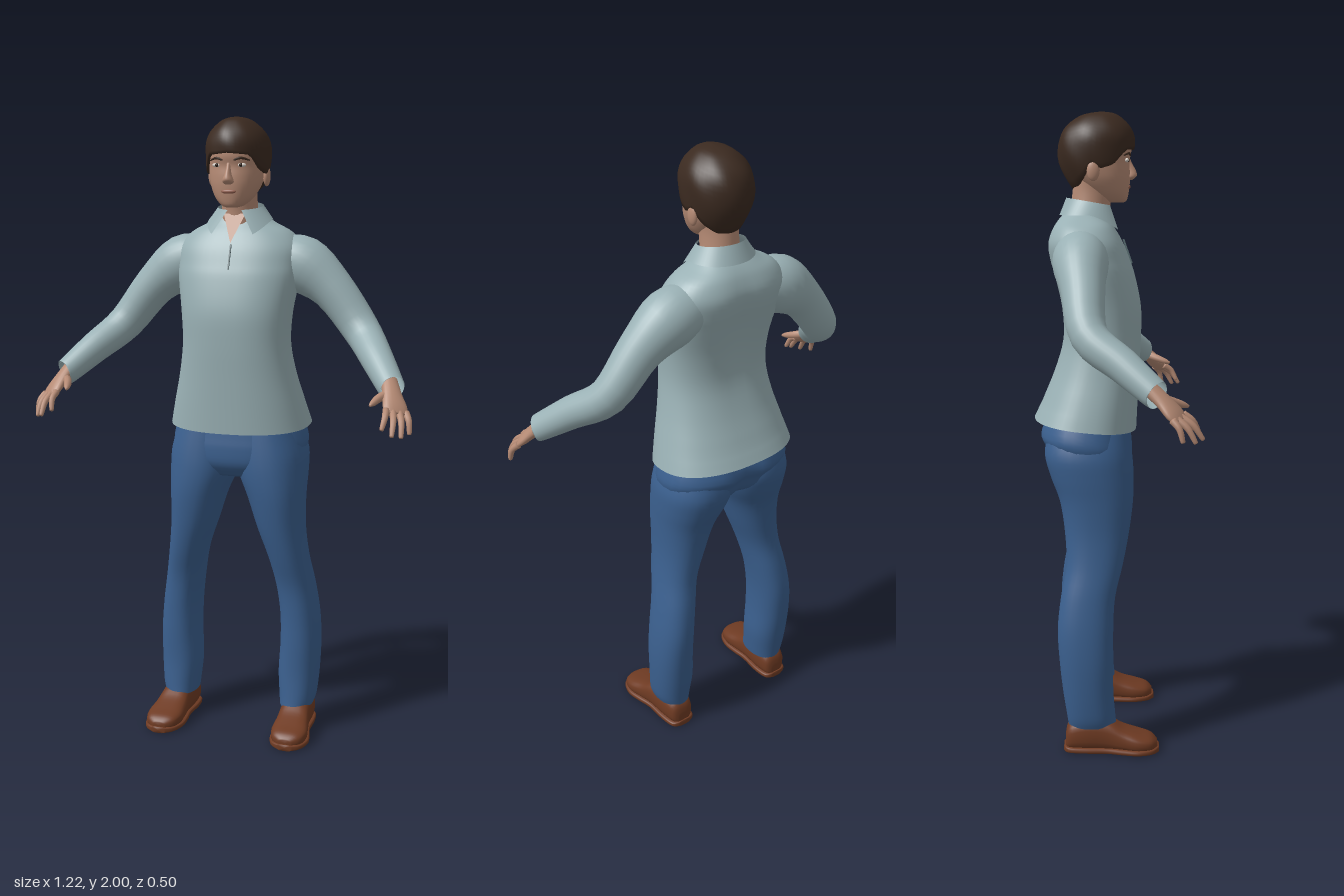
import * as THREE from 'three';

const V = (x, y, z) => new THREE.Vector3(x, y, z);
const mat = (name, color, side = THREE.FrontSide) => {
  const m = new THREE.MeshStandardMaterial({ color, side });
  m.name = name;
  return m;
};
const DS = THREE.DoubleSide;

// Catmull-Rom subdivision of rows of numbers
function smooth(rows, k = 4) {
  const out = [], at = i => rows[Math.min(Math.max(i, 0), rows.length - 1)];
  for (let i = 0; i < rows.length - 1; i++)
    for (let s = 0; s < k; s++) {
      const t = s / k, a = at(i - 1), b = at(i), c = at(i + 1), d = at(i + 2);
      out.push(b.map((_, j) => b[j] + 0.5 * t * (c[j] - a[j] + t * (2 * a[j] - 5 * b[j] + 4 * c[j] - d[j]
        + t * (3 * (b[j] - c[j]) + d[j] - a[j])))));
    }
  out.push(rows[rows.length - 1]);
  return out;
}

// Linear lookup in a table sorted by its first column
function lookup(rows, x) {
  let i = 0;
  while (i < rows.length - 2 && rows[i + 1][0] < x) i++;
  const a = rows[i], b = rows[i + 1], t = THREE.MathUtils.clamp((x - a[0]) / (b[0] - a[0]), 0, 1);
  return a.map((v, j) => v + (b[j] - v) * t);
}

const pow = (v, p) => Math.sign(v) * Math.abs(v) ** p;

// Superellipse ring around c with half axes u and v
function ring(c, u, v, n, p = 1) {
  return Array.from({ length: n }, (_, i) => {
    const a = i / n * Math.PI * 2;
    return c.clone().addScaledVector(u, pow(Math.cos(a), p)).addScaledVector(v, pow(Math.sin(a), p));
  });
}

// Skin over rings, with optional end caps
function loft(rings, capA = true, capB = true) {
  const n = rings[0].length, pts = rings.flat(), idx = [];
  for (let r = 0; r < rings.length - 1; r++)
    for (let j = 0; j < n; j++) {
      const a = r * n + j, b = r * n + (j + 1) % n;
      idx.push(a, b, a + n, b, b + n, a + n);
    }
  const cap = (r, flip) => {
    const c = V(0, 0, 0);
    rings[r].forEach(q => c.addScaledVector(q, 1 / n));
    const k = pts.push(c) - 1;
    for (let j = 0; j < n; j++) {
      const a = r * n + j, b = r * n + (j + 1) % n;
      idx.push(k, flip ? b : a, flip ? a : b);
    }
  };
  if (capA) cap(0, true);
  if (capB) cap(rings.length - 1, false);
  const g = new THREE.BufferGeometry().setFromPoints(pts);
  g.setIndex(idx);
  g.computeVertexNormals();
  return g;
}

// Upright form, rows: [y, xMin, xMax, zFront, zBack]
function stack(rows, { n = 32, p = 1, capA = true, capB = true, warp } = {}) {
  const rings = smooth(rows).map(([y, x0, x1, zf, zb]) =>
    ring(V((x0 + x1) / 2, y, (zf + zb) / 2), V(0, 0, (zf - zb) / 2), V((x1 - x0) / 2, 0, 0), n, p));
  if (warp) rings.flat().forEach(warp);
  return loft(rings, capA, capB);
}
const sym = rows => rows.map(([y, w, zf, zb]) => [y, -w, w, zf, zb]);

// Tube along a path, rows: [x, y, z, radius along ref, radius across]
function limb(rows, ref, n = 20, open = false) {
  const s = smooth(rows), P = s.map(r => V(r[0], r[1], r[2]));
  return loft(s.map((r, i) => {
    const t = P[Math.min(i + 1, P.length - 1)].clone().sub(P[Math.max(i - 1, 0)]).normalize();
    const u = ref.clone().addScaledVector(t, -ref.dot(t)).normalize(), v = t.clone().cross(u);
    return ring(P[i], u.multiplyScalar(r[3]), v.multiplyScalar(r[4]), n);
  }), true, !open);
}

// Lying form along z, rows: [z, centre x, half width, bottom, top]
const along = (rows, p) => loft(smooth(rows).map(([z, x, w, b, t]) =>
  ring(V(x, (b + t) / 2, z), V(w, 0, 0), V(0, (t - b) / 2, 0), 28, p)));

function mirrored(geo) {
  const g = geo.clone().scale(-1, 1, 1), ix = g.index.array;
  for (let i = 0; i < ix.length; i += 3) [ix[i], ix[i + 1]] = [ix[i + 1], ix[i]];
  g.computeVertexNormals();
  return g;
}

const ball = (x, y, z, a, b, c) => new THREE.SphereGeometry(1, 20, 14).scale(a, b, c).translate(x, y, z);

export function createModel() {
  const root = new THREE.Group();
  root.name = 'standingPerson';
  const skin = mat('skin', 0xb58a74), shirt = mat('shirt cloth', 0x9ab1b5, DS), denim = mat('denim', 0x3b608f, DS),
    leather = mat('shoe leather', 0x6f3b23), hairM = mat('hair', 0x3b2a20, DS), lip = mat('lips', 0x95604f),
    white = mat('eye white', 0xd5cec6), dark = mat('iris', 0x2b1d15), seam = mat('seam', 0x5d7276);
  const add = (name, geo, m) => {
    const mesh = new THREE.Mesh(geo, m);
    mesh.name = name;
    root.add(mesh);
  };
  const pair = (name, geo, m) => {
    add(name + 'Left', geo, m);
    add(name + 'Right', mirrored(geo), m);
  };

  // Shirt body, with a slanted hem and a groove down the spine
  add('shirtBody', stack(sym([
    [1.02, .232, .076, -.25], [1.1, .215, .08, -.225], [1.2, .19, .085, -.185], [1.3, .175, .09, -.16],
    [1.4, .18, .09, -.165], [1.5, .196, .07, -.187], [1.55, .2, .053, -.2], [1.6, .198, .033, -.205],
    [1.645, .165, .007, -.19], [1.675, .11, -.015, -.17], [1.7, .075, -.03, -.145]]), {
    n: 48, p: .85, capA: false, warp: q => {
      if (q.y < 1.1) q.y += (1.1 - q.y) * (.03 - q.z) * 1.3;
      else if (q.z < -.08) q.z += .014 * Math.exp(-((q.x / .05) ** 2)) * Math.exp(-(((q.y - 1.48) / .17) ** 2));
    } }), shirt);
  pair('sleeve', limb([
    [.11, 1.57, -.1, .07, .066], [.2, 1.545, -.098, .085, .09], [.3, 1.47, -.09, .066, .068],
    [.40, 1.345, -.07, .056, .058], [.47, 1.27, .025, .05, .05], [.527, 1.205, .105, .043, .042],
    [.537, 1.196, .118, .041, .04]], V(0, 0, 1), 28, true), shirt);

  // Collar with two front points
  const cp = [], ci = [], N = 40;
  for (let i = 0; i <= N; i++) {
    const a = THREE.MathUtils.degToRad(18 + 324 * i / N), b = THREE.MathUtils.degToRad(40 + 280 * i / N);
    const f = Math.max(0, Math.cos(b)) ** 1.5;
    cp.push(V(.073 * Math.sin(a), 1.727 - .012 * Math.cos(a), -.075 + .07 * Math.cos(a)),
      V(.105 * Math.sin(b), 1.685 - .065 * f, -.077 + (f > 0 ? .122 : .09) * Math.cos(b)));
    if (i < N) ci.push(2 * i, 2 * i + 1, 2 * i + 2, 2 * i + 1, 2 * i + 3, 2 * i + 2);
  }
  const collar = new THREE.BufferGeometry().setFromPoints(cp);
  collar.setIndex(ci);
  collar.computeVertexNormals();
  add('collar', collar, shirt);

  // Open neckline and front seam
  const vee = new THREE.BufferGeometry().setFromPoints([V(0, 1.615, .034), V(.036, 1.705, -.012), V(-.036, 1.705, -.012)]);
  vee.setIndex([0, 1, 2]);
  vee.computeVertexNormals();
  add('neckOpening', vee, skin);
  add('frontSeam', new THREE.BoxGeometry(.004, .08, .006).rotateX(-.34).translate(.002, 1.573, .047), seam);

  // Jeans
  add('jeansSeat', stack(sym([[.87, .12, .03, -.13], [.91, .2, .058, -.19], [.96, .222, .062, -.215],
    [1.0, .222, .058, -.232], [1.07, .2, .05, -.21]]), {
    p: .85, warp: q => { if (q.z < -.08) q.z += .02 * Math.exp(-((q.x / .035) ** 2)); } }), denim);
  pair('jeansLeg', stack([
    [.085, .15, .258, .01, -.143], [.12, .146, .268, .006, -.148], [.2, .14, .275, 0, -.16], [.3, .145, .277, 0, -.17],
    [.4, .143, .27, 0, -.175], [.5, .13, .255, .006, -.165], [.6, .108, .237, .03, -.148], [.7, .073, .226, .05, -.152],
    [.8, .04, .226, .063, -.168], [.88, .005, .229, .065, -.198], [.95, -.01, .226, .06, -.215], [1.03, 0, .2, .05, -.2]],
  { p: .9, capA: false }), denim);

  // Shoes
  pair('shoeUpper', along([[-.152, .207, .018, .012, .05], [-.14, .207, .04, .006, .09], [-.09, .208, .05, .004, .115],
    [-.02, .211, .05, .004, .108], [.03, .214, .055, .004, .08], [.08, .217, .06, .004, .062],
    [.12, .218, .048, .006, .05], [.14, .218, .02, .012, .034]], .75), leather);
  pair('shoeSole', along([[-.157, .207, .02, 0, .02], [-.143, .207, .044, 0, .02], [-.09, .208, .052, 0, .02],
    [-.02, .211, .051, 0, .02], [.03, .214, .06, 0, .02], [.08, .217, .065, 0, .02],
    [.125, .218, .05, 0, .02], [.146, .218, .022, 0, .02]], .5), leather);

  // Hands: palm, four fingers and thumb
  const across = V(.84, -.17, -.51);
  pair('palm', limb([[.522, 1.215, .095, .026, .022], [.54, 1.18, .135, .031, .019],
    [.555, 1.148, .165, .039, .016], [.563, 1.128, .183, .034, .01]], across), skin);
  [[.53, 1.09, .237], [.562, 1.074, .247], [.586, 1.068, .225], [.604, 1.073, .188]].forEach((t, i) => {
    const k = (i - 1.5) * .021, b = [.56 + .84 * k, 1.138 - .17 * k, .175 - .51 * k];
    const mid = b.map((v, j) => (v + t[j]) / 2 + [.004, .008, .004][j]);
    pair('finger' + (i + 1), limb([[...b, .011, .011], [...mid, .0095, .0095],
      [...t.map((v, j) => v * .9 + mid[j] * .1), .007, .007], [...t, .003, .003]], across, 10), skin);
  });
  pair('thumb', limb([[.532, 1.185, .128, .015, .015], [.508, 1.174, .16, .013, .013],
    [.495, 1.163, .192, .01, .01], [.489, 1.157, .21, .004, .004]], V(0, 1, 0), 10), skin);

  // Neck and head
  add('neck', stack(sym([[1.66, .065, -.01, -.135], [1.71, .058, -.008, -.13], [1.76, .056, .0, -.125],
    [1.8, .06, 0, -.12]])), skin);
  add('head', stack(sym([[1.724, .018, .034, -.005], [1.731, .036, .044, -.035], [1.755, .06, .05, -.075],
    [1.79, .077, .054, -.11], [1.82, .084, .054, -.13], [1.85, .087, .052, -.14], [1.88, .088, .058, -.148],
    [1.92, .082, .052, -.145], [1.96, .055, .02, -.11]]), { p: .92, n: 40 }), skin);
  add('nose', stack(sym([[1.793, .01, .06, .03], [1.799, .018, .069, .03], [1.808, .017, .076, .03],
    [1.825, .011, .071, .03], [1.845, .008, .06, .03], [1.868, .008, .05, .03]]), { n: 16 }), skin);
  pair('ear', ball(.09, 1.82, -.06, .011, .032, .02), skin);
  pair('eyeWhite', ball(.04, 1.852, .043, .015, .0065, .007), white);
  pair('iris', ball(.039, 1.852, .047, .0058, .0058, .005), dark);
  pair('eyebrow', limb([[.018, 1.867, .053, .003, .003], [.04, 1.873, .05, .004, .004],
    [.064, 1.866, .034, .002, .002]], V(0, 1, 0), 8), hairM);
  add('mouth', ball(0, 1.772, .049, .024, .007, .007), lip);

  // Short hair: a cap whose lower edge follows the hairline
  const form = smooth([[1.765, .068, .02, -.125], [1.8, .088, .05, -.147], [1.84, .098, .062, -.165],
    [1.88, .102, .067, -.171], [1.92, .1, .068, -.165], [1.955, .084, .054, -.145],
    [1.985, .053, .024, -.105], [1.996, .028, 0, -.07], [2, .002, -.03, -.036]]);
  const edge = [[0, 1.888], [40, 1.882], [62, 1.838], [85, 1.825], [98, 1.84], [115, 1.8], [140, 1.772], [180, 1.765]];
  const hairRing = (t, s) => Array.from({ length: 48 }, (_, i) => {
    const a = i / 48 * Math.PI * 2, deg = Math.min(i, 48 - i) * 7.5;
    const e = lookup(edge, deg)[1], [y, w, zf, zb] = lookup(form, e + (2 - e) * t);
    const k = s * (1 + .012 * Math.sin(7 * a + y * 40));
    return V(w * k * Math.sin(a), y, (zf + zb) / 2 + (zf - zb) / 2 * k * Math.cos(a));
  });
  const steps = Array.from({ length: 19 }, (_, i) => hairRing(Math.sin(i / 18 * Math.PI / 2), 1));
  add('hair', loft([hairRing(.02, .8), ...steps], false), hairM);

  return root;
}
